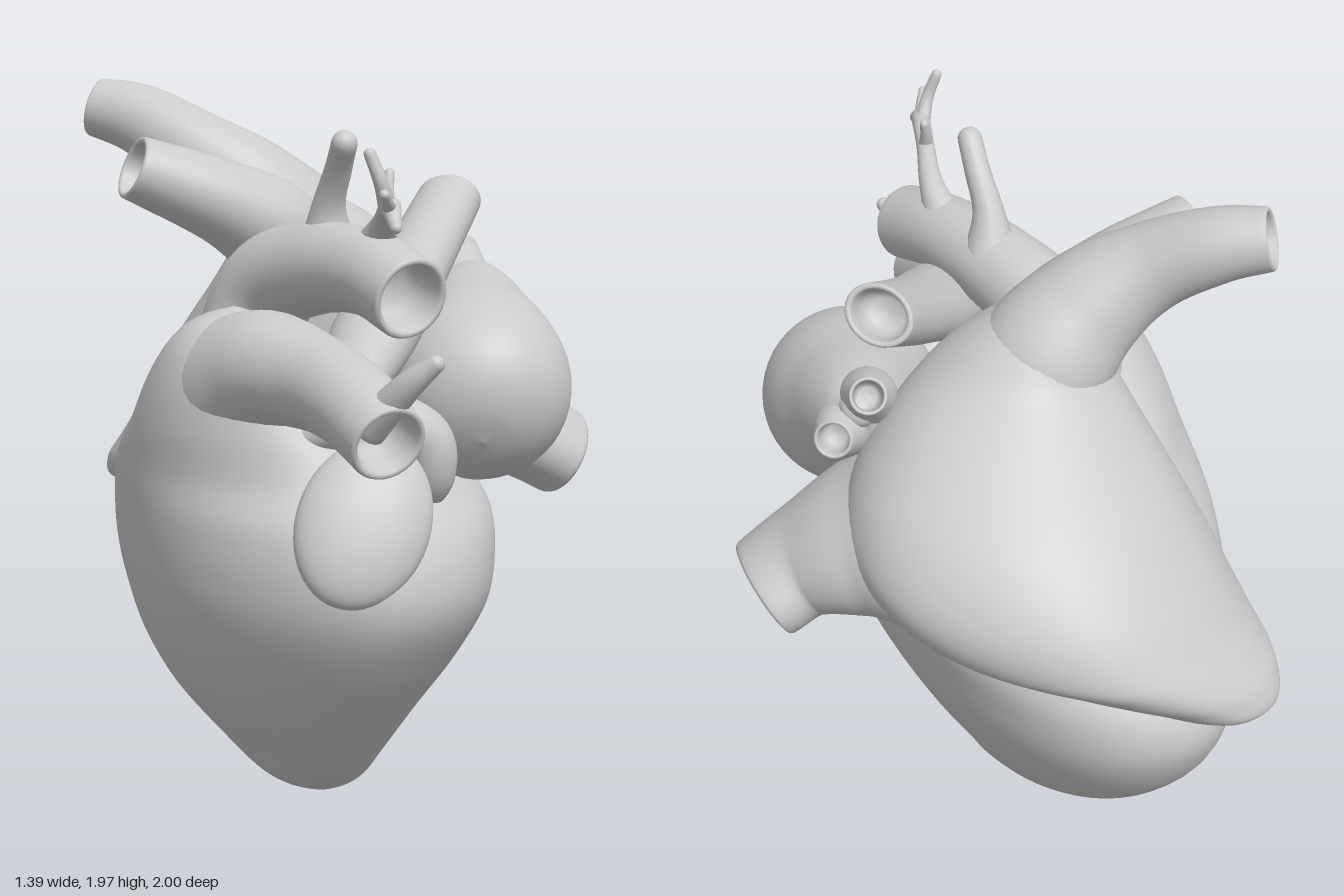
import * as THREE from 'three';

const material = new THREE.MeshStandardMaterial({ color: 0xcccccc, roughness: 0.6 });
const V = (x, y, z) => new THREE.Vector3(x, y, z);

// Smooth closed skin over a list of rings with equal point counts
function skin(rings) {
  const n = rings[0].length, pos = [], index = [];
  rings.forEach(ring => ring.forEach(p => pos.push(p.x, p.y, p.z)));
  for (let i = 0; i < rings.length - 1; i++) {
    for (let j = 0; j < n; j++) {
      const k = (j + 1) % n, a = i * n + j, b = i * n + k;
      index.push(a, b, a + n, b, b + n, a + n);
    }
  }
  const g = new THREE.BufferGeometry();
  g.setAttribute('position', new THREE.Float32BufferAttribute(pos, 3));
  g.setIndex(index);
  g.computeVertexNormals();
  return g;
}

// One elliptical ring around centre c; bulge swells or trims each quadrant
function ring(c, u, v, ru, rv, n, bulge = [0, 0, 0, 0]) {
  return Array.from({ length: n }, (_, j) => {
    const a = (j / n) * Math.PI * 2;
    const k = 1 + bulge[Math.floor((j * 4) / n)] * Math.sin(2 * a) ** 2;
    return c.clone().addScaledVector(u, k * ru * Math.cos(a)).addScaledVector(v, k * rv * Math.sin(a));
  });
}

// Body from horizontal sections [y, xMin, xMax, zMin, zMax], skewed in plan;
// bulge order: right-back, left-back, left-front, right-front on the x/z plan
function stackedBody(sections, bulge, skew, n = 72) {
  const centre = new THREE.CatmullRomCurve3(
    sections.map(([y, a, b, c, d]) => V((a + b) / 2, y, (c + d) / 2)), false, 'catmullrom');
  const radius = new THREE.CatmullRomCurve3(
    sections.map(([, a, b, c, d]) => V((b - a) / 2, (d - c) / 2, 0)), false, 'catmullrom');
  const steps = (sections.length - 1) * 6, rings = [];
  for (let i = 0; i <= steps; i++) {
    const r = radius.getPoint(i / steps);
    rings.push(ring(centre.getPoint(i / steps), V(1, 0, -skew), V(0, 0, -1), Math.max(r.x, 0), Math.max(r.y, 0), n, bulge));
  }
  return skin(rings);
}

// Swept vessel through [x, y, z, radius]; an open end gets a rounded rim and a hollow
function vessel(points, { open = true, widen = 1, ref = V(0, 0, 1), n = 32 } = {}) {
  const path = new THREE.CatmullRomCurve3(points.map(p => V(p[0], p[1], p[2])), false, 'catmullrom');
  const radius = new THREE.CatmullRomCurve3(points.map(p => V(p[3], 0, 0)), false, 'catmullrom');
  const steps = (points.length - 1) * 8, rings = [];
  let u = ref.clone(), t, v;
  const add = (c, r) => rings.push(ring(c, u, v, r * widen, r, n));
  for (let i = 0; i <= steps; i++) {
    t = path.getTangent(i / steps);
    u = u.clone().addScaledVector(t, -u.dot(t)).normalize();
    v = t.clone().cross(u);
    const c = path.getPoint(i / steps);
    if (i === 0) add(c, 0);
    add(c, Math.max(radius.getPoint(i / steps).x, 0));
  }
  const end = path.getPoint(1), r = points[points.length - 1][3];
  // [offset along the axis, radius], both relative to the end radius
  const profile = open
    ? [[0.06, 0.97], [0.08, 0.91], [0.06, 0.85], [0, 0.81], [-0.4, 0.76], [-0.9, 0.7], [-1.1, 0.5], [-1.15, 0]]
    : [[0.35, 0.92], [0.65, 0.72], [0.85, 0.4], [0.92, 0]];
  profile.forEach(([d, k]) => add(end.clone().addScaledVector(t, d * r), r * k));
  return skin(rings);
}

export function createModel() {
  const model = new THREE.Group();
  model.name = 'heart';
  const add = (name, geometry) => {
    const mesh = new THREE.Mesh(geometry, material);
    mesh.name = name;
    model.add(mesh);
  };

  // Main chamber body, rising on one side into the vessel roots
  add('ventricles', stackedBody([
    [0, -0.17, -0.17, 0.03, 0.03],
    [0.015, -0.25, -0.09, -0.08, 0.12],
    [0.06, -0.33, -0.03, -0.23, 0.2],
    [0.15, -0.41, 0.02, -0.45, 0.3],
    [0.3, -0.53, 0.11, -0.67, 0.44],
    [0.45, -0.61, 0.2, -0.82, 0.57],
    [0.6, -0.655, 0.265, -0.92, 0.67],
    [0.72, -0.675, 0.29, -0.95, 0.685],
    [0.84, -0.685, 0.3, -0.9, 0.63],
    [0.95, -0.69, 0.25, -0.76, 0.5],
    [1.08, -0.685, 0.08, -0.48, 0.41],
    [1.2, -0.665, -0.16, -0.26, 0.34],
    [1.3, -0.625, -0.26, -0.11, 0.29],
    [1.36, -0.56, -0.34, 0, 0.23],
    [1.39, -0.45, -0.45, 0.12, 0.12],
  ], [0.01, -0.08, -0.05, 0.08], 0.18));

  // Large rear chamber with its drooping lobe
  add('rearAtrium', stackedBody([
    [0.73, -0.31, -0.31, -0.89, -0.89],
    [0.75, -0.45, -0.15, -0.99, -0.7],
    [0.82, -0.5, 0.05, -1.0, -0.4],
    [0.89, -0.5, 0.24, -0.985, -0.14],
    [0.97, -0.49, 0.42, -0.95, 0.05],
    [1.1, -0.45, 0.5, -0.87, 0.11],
    [1.25, -0.39, 0.46, -0.74, 0.09],
    [1.4, -0.33, 0.33, -0.56, 0.05],
    [1.52, -0.29, 0.18, -0.42, 0.01],
    [1.61, -0.28, 0.06, -0.37, -0.06],
    [1.68, -0.26, -0.09, -0.3, -0.15],
    [1.7, -0.2, -0.2, -0.24, -0.24],
  ], [-0.05, 0.03, -0.17, 0], 0));
  add('sideVein', vessel([[0.05, 1.08, -0.25, 0.17], [0.22, 1.08, -0.19, 0.235], [0.38, 1.03, -0.1, 0.18],
    [0.51, 0.955, -0.03, 0.135], [0.62, 0.89, -0.01, 0.125]], { widen: 1.5, n: 48 }));
  add('upperVeinRear', vessel([[0.05, 1.3, -0.25, 0.1], [-0.1, 1.5, -0.23, 0.18], [-0.24, 1.65, -0.25, 0.155],
    [-0.37, 1.76, -0.32, 0.12], [-0.49, 1.85, -0.44, 0.1], [-0.59, 1.885, -0.53, 0.083]]));
  add('upperVeinFront', vessel([[-0.05, 1.4, -0.18, 0.06], [-0.2, 1.55, -0.17, 0.14],
    [-0.38, 1.645, -0.15, 0.115], [-0.615, 1.74, -0.17, 0.088]], { widen: 1.15 }));

  // Front chamber: a blunt cone along a straight axis, tapering into two small veins
  const nose = V(0.08, 1.05, 0.53), tip = V(0.35, 1.41, -0.06);
  const cone = [[0, 0], [0.02, 0.095], [0.08, 0.175], [0.18, 0.23], [0.32, 0.25], [0.48, 0.23],
    [0.66, 0.18], [0.82, 0.135], [0.94, 0.09], [1, 0.05]];
  add('frontAtrium', vessel(cone.map(([k, r]) => [...nose.clone().lerp(tip, k).toArray(), r]), { open: false, n: 48 }));
  add('smallVeinUpper', vessel([[0.23, 1.27, 0.14, 0.09], [0.3, 1.41, -0.02, 0.08], [0.35, 1.485, -0.12, 0.05]]));
  add('smallVeinLower', vessel([[0.25, 1.22, 0.15, 0.09], [0.37, 1.33, -0.01, 0.08], [0.445, 1.37, -0.1, 0.052]]));

  // Outer arched artery with its long cross branch
  add('pulmonaryArtery', vessel([[-0.46, 0.95, 0.05, 0.08], [-0.47, 1.15, 0.12, 0.17], [-0.44, 1.245, 0.29, 0.155],
    [-0.39, 1.24, 0.5, 0.125], [-0.372, 1.21, 0.7, 0.112], [-0.365, 1.145, 0.88, 0.1]], { ref: V(1, 0, 0) }));
  add('pulmonaryBranch', vessel([[-0.38, 1.21, 0.66, 0.06], [-0.19, 1.33, 0.43, 0.1],
    [0.04, 1.48, 0.2, 0.088], [0.25, 1.635, 0, 0.08]], { widen: 1.22 }));
  add('pulmonaryTwig', vessel([[-0.38, 1.17, 0.8, 0.05], [-0.33, 1.285, 0.915, 0.036],
    [-0.285, 1.345, 0.975, 0.022]], { open: false, n: 16 }));

  // Inner arched artery with its upward branches
  add('aorta', vessel([[-0.36, 0.9, -0.05, 0.1], [-0.36, 1.2, -0.02, 0.14], [-0.32, 1.42, 0.05, 0.135],
    [-0.27, 1.495, 0.25, 0.122], [-0.225, 1.505, 0.48, 0.11], [-0.2, 1.46, 0.665, 0.107]], { ref: V(1, 0, 0) }));
  const twigs = {
    archBranch: [[-0.24, 1.54, 0.26, 0.08], [-0.25, 1.66, 0.29, 0.045], [-0.25, 1.76, 0.35, 0.036], [-0.26, 1.83, 0.41, 0.034]],
    forkedBranch: [[-0.21, 1.55, 0.46, 0.06], [-0.22, 1.635, 0.56, 0.034], [-0.27, 1.68, 0.68, 0.026],
      [-0.32, 1.7, 0.8, 0.026], [-0.35, 1.66, 0.89, 0.014]],
    twigTop: [[-0.32, 1.69, 0.79, 0.024], [-0.35, 1.76, 0.81, 0.018], [-0.375, 1.83, 0.8, 0.015]],
    twigInner: [[-0.27, 1.68, 0.68, 0.022], [-0.26, 1.73, 0.66, 0.016], [-0.25, 1.77, 0.65, 0.013]],
    twigOuter: [[-0.32, 1.7, 0.79, 0.022], [-0.35, 1.71, 0.85, 0.016], [-0.38, 1.74, 0.89, 0.013]],
  };
  for (const [name, points] of Object.entries(twigs)) add(name, vessel(points, { open: false, n: 16 }));

  // Curved collar and the flat ear lying on the front
  add('collar', vessel([[-0.38, 1.06, 0.34, 0.05], [-0.21, 1.125, 0.46, 0.07], [-0.085, 1.075, 0.5, 0.075],
    [-0.055, 0.98, 0.5, 0.065], [-0.06, 0.9, 0.45, 0.05]], { open: false }));
  const ear = new THREE.SphereGeometry(1, 40, 28);
  ear.scale(0.172, 0.228, 0.085).rotateZ(-0.4).rotateX(-0.42).rotateY(-0.3).translate(-0.29, 0.88, 0.585);
  add('frontEar', ear);

  return model;
}
